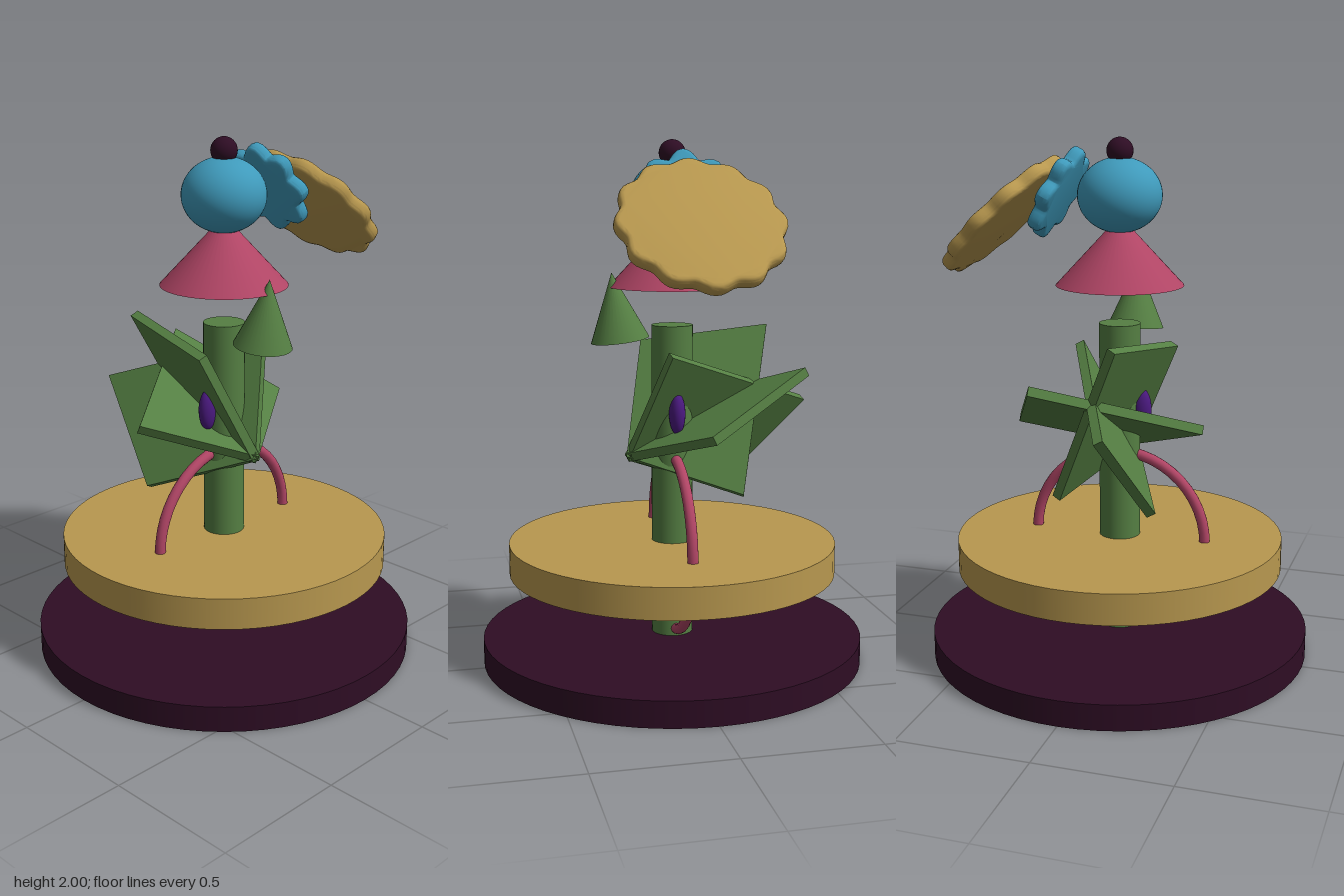
import * as THREE from 'three';
import { toCreasedNormals } from 'three/addons/utils/BufferGeometryUtils.js';

const paint = (name, color) => {
  const m = new THREE.MeshStandardMaterial({ color });
  m.name = name;
  return m;
};

export function createModel() {
  const plum = paint('dark plum', 0x2e0d24);
  const gold = paint('gold', 0xb8984f);
  const green = paint('leaf green', 0x557f43);
  const pink = paint('rose pink', 0xb04565);
  const blue = paint('blue', 0x3f9abb);
  const purple = paint('purple', 0x4b1a80);

  const model = new THREE.Group();
  model.name = 'sculpture';
  const add = (name, geometry, material, x = 0, y = 0, z = 0) => {
    const mesh = new THREE.Mesh(geometry, material);
    mesh.name = name;
    mesh.position.set(x, y, z);
    model.add(mesh);
    return mesh;
  };

  // Stand, tray and post
  add('base', new THREE.CylinderGeometry(0.738, 0.738, 0.1, 64), plum, 0, 0.05);
  add('tray', new THREE.CylinderGeometry(0.633, 0.633, 0.12, 64), gold, 0, 0.41);
  add('post', new THREE.CylinderGeometry(0.079, 0.079, 1.21, 32), green, 0, 0.705);

  // Upright ring passing through the tray
  add('ring', new THREE.TorusGeometry(0.343, 0.021, 12, 48), pink, 0, 0.463);

  // Oval beads on both sides of the post
  for (const side of [-1, 1]) {
    const bead = add('bead', new THREE.SphereGeometry(1, 20, 14), purple, side * 0.088, 0.98);
    bead.scale.set(0.038, 0.08, 0.031);
  }

  // Three crossing plates fanned around one sloping axis
  const axis = new THREE.Vector3(0, 0.46, -0.888).normalize();
  const across = new THREE.Vector3(1, 0, 0);
  const up = new THREE.Vector3(0, 0.888, 0.46).normalize();
  const leafShape = new THREE.Shape([[0, 0], [0.385, 0.28], [0.19, 0.74], [-0.355, 0.31]]
    .map(([x, y]) => new THREE.Vector2(x, y)));
  const leafGeometry = new THREE.ExtrudeGeometry(leafShape, { depth: 0.036, bevelEnabled: false });
  leafGeometry.translate(0, 0, -0.018);
  for (let i = 0; i < 3; i++) {
    const a = i * Math.PI * 2 / 3;
    const lateral = across.clone().multiplyScalar(Math.cos(a)).addScaledVector(up, Math.sin(a));
    const normal = lateral.clone().cross(axis);
    const leaf = add('leafPlate', leafGeometry, green, 0, 0.8, 0.178);
    leaf.quaternion.setFromRotationMatrix(new THREE.Matrix4().makeBasis(lateral, axis, normal));
  }

  // Small leaning cone in front of the post top
  add('frontCone', new THREE.ConeGeometry(0.111, 0.256, 32), green, 0, 1.384, 0.217).rotation.x = 0.125;

  // Skirt, head and knob
  add('skirt', new THREE.ConeGeometry(0.242, 0.26, 48), pink, 0, 1.585);
  add('head', new THREE.SphereGeometry(0.159, 40, 28), blue, 0, 1.79).scale.y = 0.88;
  add('knob', new THREE.SphereGeometry(0.05, 24, 16), plum, 0, 1.952);

  // Scalloped discs leaning beside the head
  const scallopedDisc = (name, material, radius, wave, lobes, thickness, x, y, nx, ny) => {
    const bevel = thickness * 0.32;
    const points = [];
    const count = lobes * 10;
    for (let i = 0; i < count; i++) {
      const a = i / count * Math.PI * 2;
      const r = radius - bevel + wave * Math.cos(lobes * a);
      points.push(new THREE.Vector2(r * Math.cos(a), r * Math.sin(a)));
    }
    const depth = thickness - 2 * bevel;
    const geometry = new THREE.ExtrudeGeometry(new THREE.Shape(points), {
      depth, bevelThickness: bevel, bevelSize: bevel, bevelSegments: 3,
    });
    geometry.translate(0, 0, -depth / 2);
    const disc = add(name, toCreasedNormals(geometry, 0.6), material, x, y, 0);
    const n = new THREE.Vector3(nx, ny, 0).normalize();
    const side = new THREE.Vector3(0, 0, 1);
    disc.quaternion.setFromRotationMatrix(
      new THREE.Matrix4().makeBasis(side, n.clone().cross(side), n));
  };
  scallopedDisc('largeScallopedDisc', gold, 0.296, 0.011, 12, 0.056, 0.455, 1.703, 0.7, 0.715);
  scallopedDisc('smallScallopedDisc', blue, 0.167, 0.018, 8, 0.056, 0.24, 1.793, 0.89, 0.456);

  return model;
}
